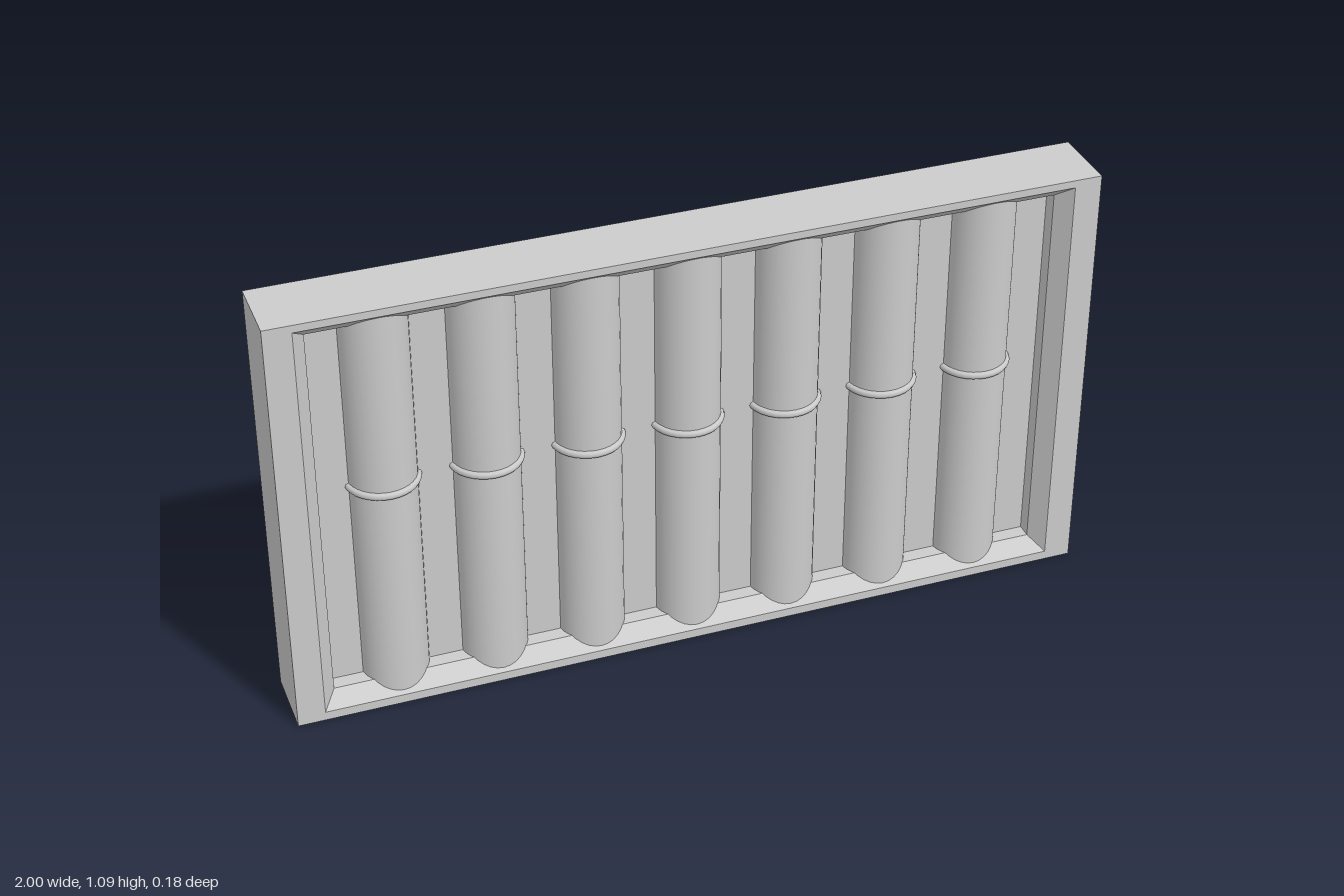
import * as THREE from 'three';

const grey = new THREE.MeshStandardMaterial({ color: 0xcccccc });

// Joins rectangular loops [halfWidth, bottom, top, z] into a closed, flat-faced ring
function rectangleSweep(loops) {
  const corners = loops.map(([w, b, t, z]) => [[-w, b, z], [w, b, z], [w, t, z], [-w, t, z]]);
  const positions = [];
  corners.forEach((a, k) => {
    const b = corners[(k + 1) % corners.length];
    for (let i = 0; i < 4; i++) {
      const j = (i + 1) % 4;
      for (const p of [a[i], a[j], b[j], a[i], b[j], b[i]]) positions.push(...p);
    }
  });
  const geometry = new THREE.BufferGeometry();
  geometry.setAttribute('position', new THREE.Float32BufferAttribute(positions, 3));
  geometry.computeVertexNormals();
  return geometry;
}

export function createModel() {
  const group = new THREE.Group();
  const add = (name, geometry, x = 0, y = 0, z = 0) => {
    const mesh = new THREE.Mesh(geometry, grey);
    mesh.name = name;
    mesh.position.set(x, y, z);
    group.add(mesh);
  };

  // Frame with a bevelled opening on both faces
  const front = 0.092, back = -0.086, bevel = 0.04;
  add('frame', rectangleSweep([
    [1, 0, 1.09, front],
    [0.933, 0.023, 1.071, front],
    [0.9, 0.056, 1.037, front - bevel],
    [0.9, 0.056, 1.037, back + bevel],
    [0.933, 0.023, 1.071, back],
    [1, 0, 1.09, back],
  ]));

  // Thin panel behind and between the bars
  add('panel', new THREE.BoxGeometry(1.82, 1, 0.024), 0, 0.5465, 0.003);

  // Seven round bars, each with a collar just above the middle
  const bar = new THREE.CylinderGeometry(0.083, 0.083, 1.056, 32);
  const collar = new THREE.TorusGeometry(0.0825, 0.0095, 8, 32).rotateX(Math.PI / 2);
  for (let i = -3; i <= 3; i++) {
    add('bar', bar, i * 0.246, 0.547, 0);
    add('collar', collar, i * 0.246, 0.592, 0);
  }
  return group;
}
